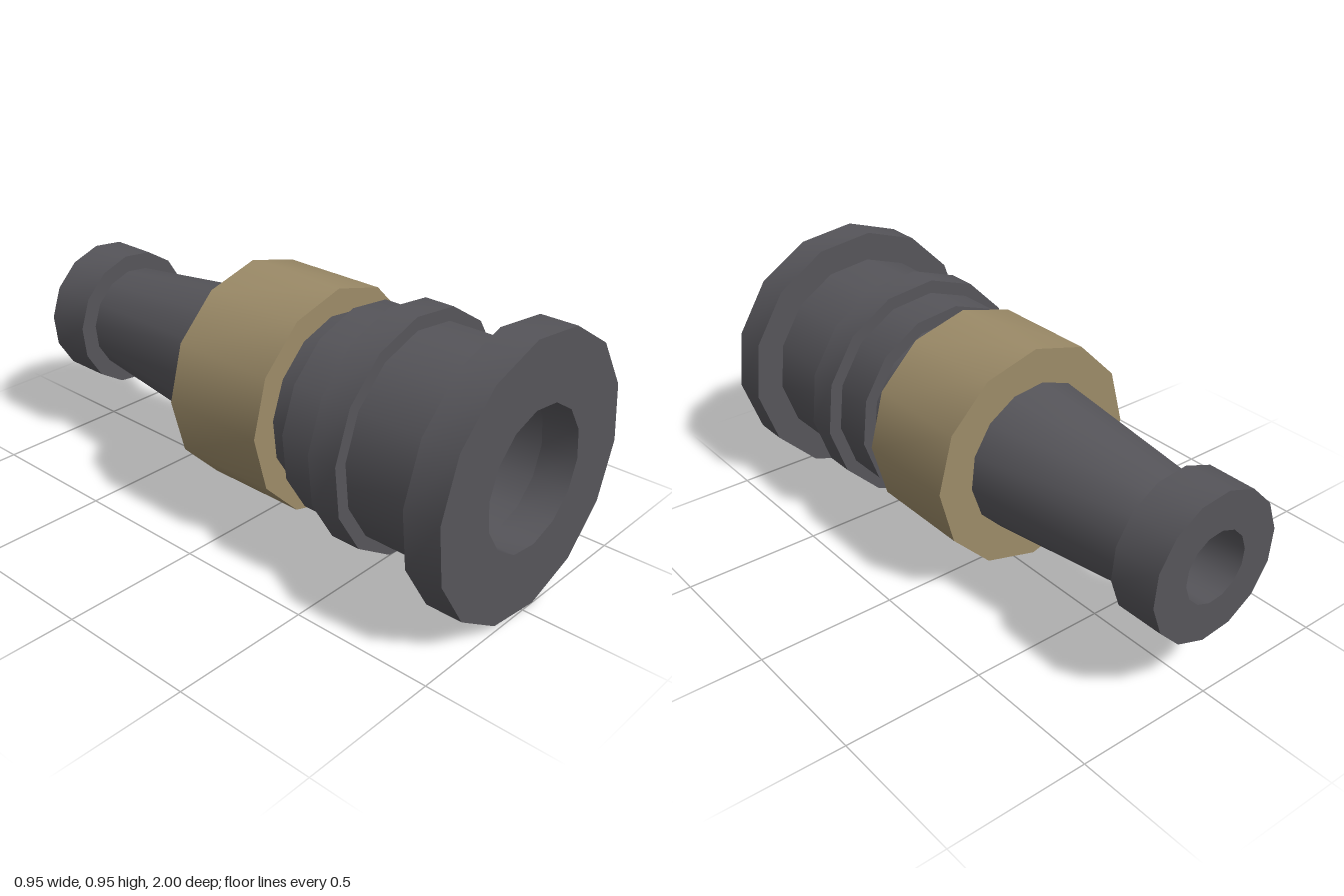
import * as THREE from 'three';
import { toCreasedNormals } from 'three/addons/utils/BufferGeometryUtils.js';

const AXIS_Y = 0.476;
const dark = new THREE.MeshStandardMaterial({ color: 0x56555a });
const tan = new THREE.MeshStandardMaterial({ color: 0x9c8b68 });

// Ring or tapered sleeve along z, with a straight bore (bore 0 = solid)
function sleeve(name, zBack, zFront, rBack, rFront, bore, sides = 14, start = Math.PI * 0.75, material = dark) {
  const profile = [
    [bore, zBack], [rBack, zBack], [rFront, zFront], [bore, zFront],
  ];
  if (bore > 0) profile.push([bore, zBack]);
  const points = profile.map(([r, z]) => new THREE.Vector2(r, z));
  const lathe = new THREE.LatheGeometry(points, sides, start);
  lathe.rotateX(Math.PI / 2);
  const mesh = new THREE.Mesh(toCreasedNormals(lathe, 0.6), material);
  mesh.name = name;
  mesh.position.y = AXIS_Y;
  return mesh;
}

export function createModel() {
  const group = new THREE.Group();
  group.name = 'hoseNozzle';
  const frontBore = 0.243, backBore = 0.125;

  group.add(
    // Wide end with its large bore
    sleeve('frontFlange', 0.87, 1, 0.478, 0.478, frontBore),
    sleeve('frontBarrel', 0.31, 0.87, 0.373, 0.373, frontBore),
    sleeve('barrelRing', 0.46, 0.57, 0.42, 0.42, 0.36),
    sleeve('frontCone', 0.2, 0.31, 0.313, 0.326, frontBore),
    // Solid collar closing off both bores
    sleeve('collar', -0.175, 0.215, 0.4, 0.4, 0, 12, 0, tan),
    // Tapered neck and small end
    sleeve('backCone', -0.83, -0.17, 0.195, 0.271, backBore),
    sleeve('backFlange', -1, -0.825, 0.258, 0.258, backBore),
  );
  return group;
}
